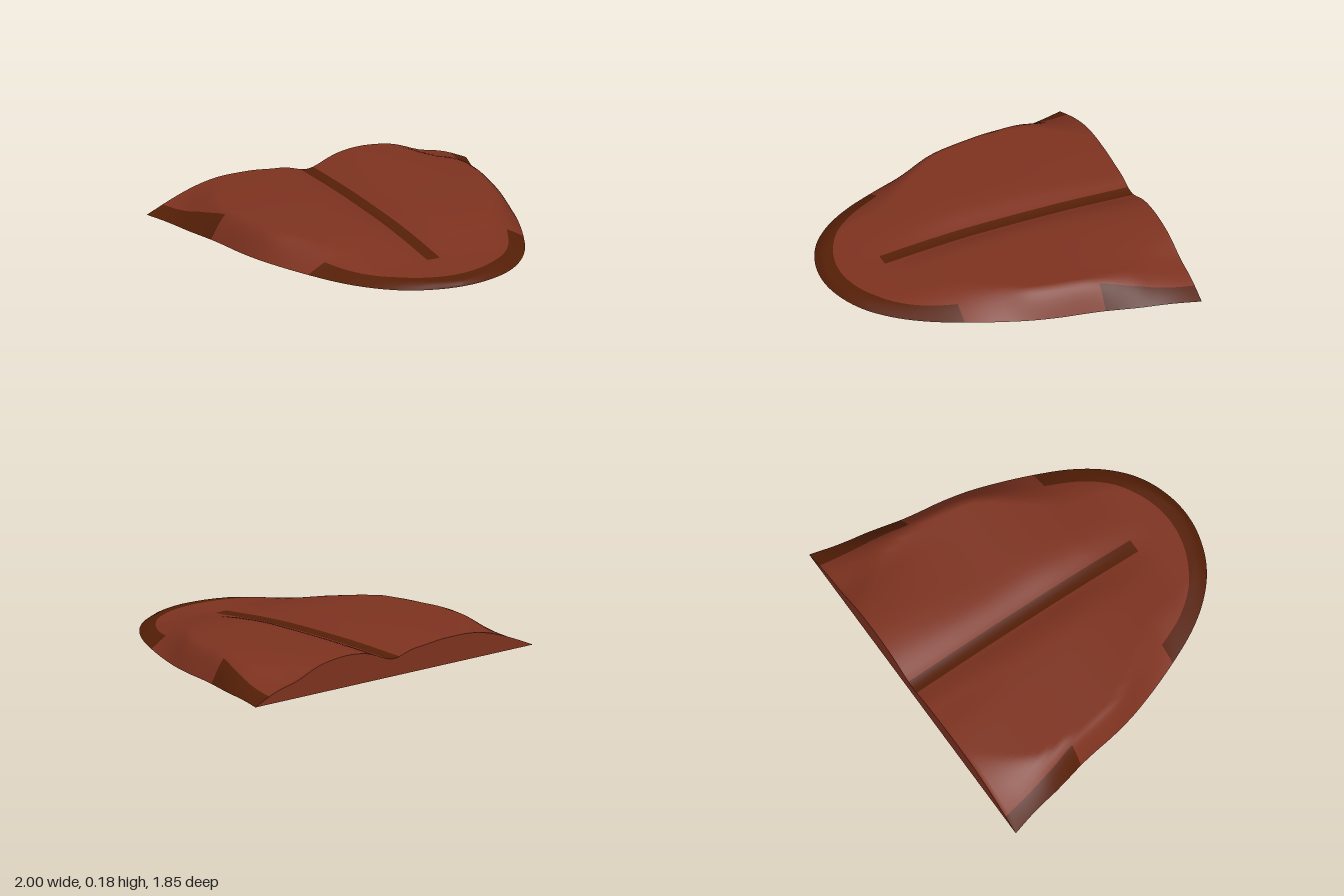
import * as THREE from 'three';

const BACK = -0.925, TIP = 0.925;

// Smooth interpolation through [z, value] points
function interp(pts, z) {
  const n = pts.length - 1;
  if (z <= pts[0][0]) return pts[0][1];
  if (z >= pts[n][0]) return pts[n][1];
  let i = 0;
  while (z > pts[i + 1][0]) i++;
  const slope = k => {
    const a = pts[Math.max(k - 1, 0)], b = pts[Math.min(k + 1, n)];
    return (b[1] - a[1]) / (b[0] - a[0]);
  };
  const [z0, v0] = pts[i], [z1, v1] = pts[i + 1], h = z1 - z0, t = (z - z0) / h;
  const t2 = t * t, t3 = t2 * t;
  return v0 * (2 * t3 - 3 * t2 + 1) + v1 * (3 * t2 - 2 * t3)
    + h * slope(i) * (t3 - 2 * t2 + t) + h * slope(i + 1) * (t3 - t2);
}
// Widths are interpolated squared so the tip closes roundly
const squared = pts => pts.map(([z, v]) => [z, v * v]);

const OUTLINE = squared([[BACK, 1], [-0.8, 0.965], [-0.7, 0.943], [-0.6, 0.925], [-0.5, 0.902], [-0.4, 0.878],
  [-0.3, 0.86], [-0.15, 0.838], [0, 0.805], [0.15, 0.757], [0.3, 0.7], [0.4, 0.657], [0.5, 0.61],
  [0.6, 0.552], [0.7, 0.477], [0.8, 0.372], [0.86, 0.275], [0.9, 0.17], [TIP, 0]]);
const INNER = squared([[BACK, 0.9], [-0.7, 0.86], [-0.55, 0.83], [-0.4, 0.79], [0, 0.71], [0.36, 0.57],
  [0.53, 0.49], [0.67, 0.38], [0.765, 0.235], [0.82, 0]]);
const CROWN = [[BACK, 0.152], [-0.6, 0.156], [-0.4, 0.155], [-0.2, 0.15], [0, 0.144], [0.1, 0.137], [0.2, 0.125],
  [0.3, 0.11], [0.4, 0.09], [0.5, 0.07], [0.6, 0.052], [0.7, 0.042], [0.85, 0.031], [0.9, 0.022], [TIP, 0.006]];
const GROOVE = [[BACK, 0.1], [-0.5, 0.105], [0, 0.092], [0.3, 0.072], [0.57, 0.047], [0.7, 0.042]];
const EDGE = [[BACK, 0.52], [-0.75, 0.33], [-0.6, 0.2], [-0.4, 0.13], [-0.2, 0.12], [0, 0.13], [0.2, 0.2],
  [0.4, 0.24], [0.6, 0.16], [0.8, 0.08], [TIP, 0.05]];
// Uneven swells toward the back: [x, amplitude, spread]
const SWELLS = [[0.34, 0.027, 0.2], [0.72, -0.03, 0.12], [-0.2, -0.012, 0.1]];

const width = z => Math.sqrt(Math.max(0, interp(OUTLINE, z)));
const inner = z => z >= 0.82 ? 0 : Math.sqrt(Math.max(0, interp(INNER, z)));

// Height of the upper surface
function height(x, z) {
  const w = width(z), slope = (width(z + 0.004) - width(z - 0.004)) / 0.008;
  const d = (w - Math.abs(x)) / Math.sqrt(1 + slope * slope);
  const t = THREE.MathUtils.clamp(d / interp(EDGE, z), -0.3, 1);
  const swell = SWELLS.reduce((sum, [c, a, s]) => sum + a * Math.exp(-(((x - c) / s) ** 2)), 0);
  let y = (interp(CROWN, z) + swell * THREE.MathUtils.smoothstep(-z, 0.25, 0.92)) * Math.sin(t * Math.PI / 2);
  if (z < 0.7) y -= Math.max(0, y - interp(GROOVE, z)) * Math.exp(-((x / 0.12) ** 2));
  return y;
}

function surface(position, index, normal) {
  const g = new THREE.BufferGeometry();
  g.setAttribute('position', new THREE.Float32BufferAttribute(position, 3));
  g.setIndex(index);
  if (normal) g.setAttribute('normal', new THREE.Float32BufferAttribute(normal, 3));
  else g.computeVertexNormals();
  return g;
}

function paint(name, color) {
  const m = new THREE.MeshStandardMaterial({ color });
  m.name = name;
  return m;
}

export function createModel() {
  const flesh = paint('reddish brown', 0x7d321f);
  const dark = paint('dark brown', 0x551f07);
  const black = paint('black', 0x080808);
  const group = new THREE.Group();
  group.name = 'tongue';
  const add = (name, geometry, material) => {
    const m = new THREE.Mesh(geometry, material);
    m.name = name;
    group.add(m);
  };

  // Rows along z, closer together toward the tip
  const rows = [BACK];
  [[BACK, -0.4, 20], [-0.4, 0.36, 24], [0.36, 0.57, 10], [0.57, 0.82, 18], [0.82, TIP, 14]].forEach(([a, b, n]) => {
    for (let i = 1; i <= n; i++) {
      const t = i / n;
      rows.push(a + (b - a) * (a > 0.5 ? 1 - (1 - t) ** 2 : t));
    }
  });

  // Column bands across x: rim, side, centre stripe, side, rim
  const counts = [8, 22, 4, 22, 8];
  const columns = z => {
    const w = width(z), wi = inner(z), s = Math.min(0.04, wi * 0.5);
    const stops = [-w, -wi, -s, s, wi, w], xs = [-w];
    counts.forEach((n, k) => {
      for (let i = 1; i <= n; i++) xs.push(THREE.MathUtils.lerp(stops[k], stops[k + 1], i / n));
    });
    return xs;
  };
  const bandOf = counts.flatMap((n, k) => Array(n).fill(k));
  const stride = bandOf.length + 1;

  const position = [], normal = [], v = new THREE.Vector3(), e = 0.004;
  rows.forEach(z => columns(z).forEach(x => {
    position.push(x, Math.max(0, height(x, z)), z);
    v.set(height(x - e, z) - height(x + e, z), 2 * e, height(x, z - e) - height(x, z + e)).normalize();
    normal.push(v.x, v.y, v.z);
  }));

  // Sort the upper surface into its coloured parts
  const parts = { body: [], rim: [], centreStripe: [] };
  for (let i = 0; i < rows.length - 1; i++) {
    const z = (rows[i] + rows[i + 1]) / 2;
    bandOf.forEach((band, j) => {
      const a = i * stride + j, b = a + 1, c = a + stride, d = c + 1;
      let part = 'body';
      if ((band === 0 || band === 4) && (z < -0.4 || z > 0.36)) part = 'rim';
      if (band === 2 && z < 0.57) part = 'centreStripe';
      parts[part].push(a, c, b, b, c, d);
    });
  }
  add('body', surface(position, parts.body, normal), flesh);
  add('rim', surface(position, parts.rim, normal), dark);
  add('centreStripe', surface(position, parts.centreStripe, normal), dark);

  // Flat underside
  const under = [], underIndex = [];
  rows.forEach((z, i) => {
    under.push(-width(z), 0, z, width(z), 0, z);
    const a = 2 * i;
    if (i < rows.length - 1) underIndex.push(a, a + 1, a + 2, a + 1, a + 3, a + 2);
  });
  add('underside', surface(under, underIndex), black);

  // Flat cut at the back
  const cut = [], cutIndex = [];
  columns(BACK).forEach((x, j) => {
    cut.push(x, Math.max(0, height(x, BACK)), BACK, x, 0, BACK);
    const a = 2 * j;
    if (j < stride - 1) cutIndex.push(a, a + 2, a + 1, a + 2, a + 3, a + 1);
  });
  add('backFace', surface(cut, cutIndex), flesh);
  return group;
}
